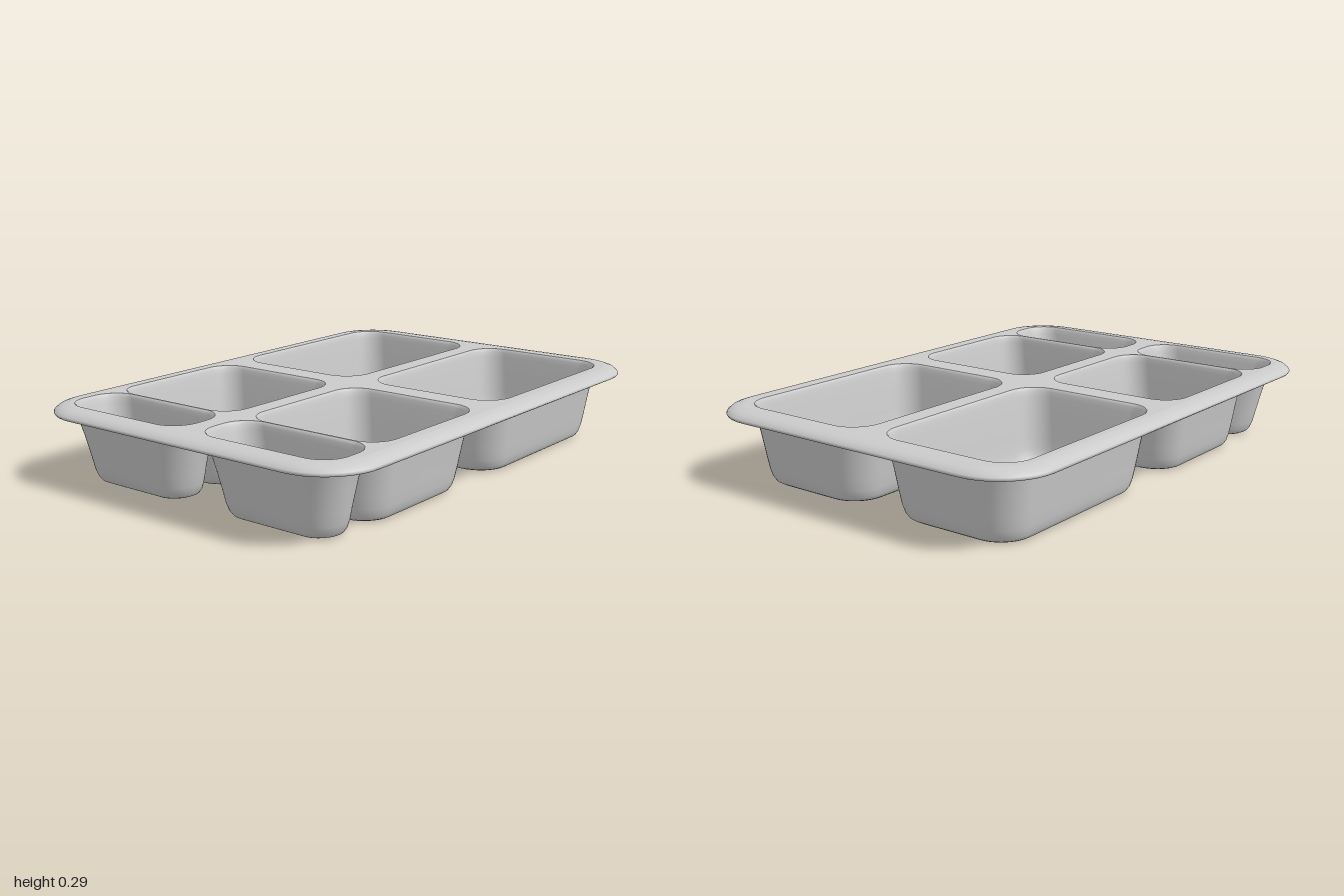
import * as THREE from 'three';

const TOP = 0.288, UNDER = 0.262;
const material = new THREE.MeshStandardMaterial({ color: 0xcccccc, side: THREE.DoubleSide });

// Rounded rectangle outline as [x, z] points, always the same number of points
function outline({ x0, x1, z0, z1 }, radius, steps = 10) {
  const r = Math.max(0, Math.min(radius, (x1 - x0) / 2, (z1 - z0) / 2));
  const corners = [[x1 - r, z1 - r], [x0 + r, z1 - r], [x0 + r, z0 + r], [x1 - r, z0 + r]];
  const points = [];
  corners.forEach(([cx, cz], q) => {
    for (let i = 0; i <= steps; i++) {
      const a = (q + i / steps) * Math.PI / 2;
      points.push([cx + r * Math.cos(a), cz + r * Math.sin(a)]);
    }
  });
  return points;
}

const inset = (b, l, r = l, z = l) => ({ x0: b.x0 + l, x1: b.x1 - r, z0: b.z0 + z, z1: b.z1 - z });

// Smooth skin through a stack of outlines: [{ points, y }]
function loft(rings, name) {
  const n = rings[0].points.length, position = [], index = [];
  rings.forEach(({ points, y }) => points.forEach(([x, z]) => position.push(x, y, z)));
  for (let i = 0; i < rings.length - 1; i++) {
    for (let j = 0; j < n; j++) {
      const a = i * n + j, b = i * n + (j + 1) % n;
      index.push(a, b, a + n, b, b + n, a + n);
    }
  }
  const geometry = new THREE.BufferGeometry();
  geometry.setAttribute('position', new THREE.Float32BufferAttribute(position, 3));
  geometry.setIndex(index);
  geometry.computeVertexNormals();
  const mesh = new THREE.Mesh(geometry, material);
  mesh.name = name;
  return mesh;
}

// Compartment columns: opening in x, and how far each wall leans in at the floor
const columns = [
  { name: 'narrowCompartment', x0: -0.893, x1: -0.667, left: 0.07, right: 0.03, ends: 0.085, radius: 0.09 },
  { name: 'squareCompartment', x0: -0.645, x1: -0.065, left: 0.035, right: 0.055, ends: 0.06, radius: 0.09 },
  { name: 'wideCompartment', x0: 0.047, x1: 0.874, left: 0.055, right: 0.05, ends: 0.055, radius: 0.1 },
];
// Wall profile: [lean fraction, height fraction]
const wall = [[0, 1], [0.08, 0.93], [0.28, 0.66], [0.48, 0.35], [0.6, 0.18], [0.72, 0.08], [0.86, 0.025], [1.05, 0]];

function wallRings(c, box, grow, floorY, topY) {
  const rings = wall.map(([t, h]) => ({
    points: outline(inset(box, c.left * t - grow, c.right * t - grow, c.ends * t - grow), c.radius + grow),
    y: floorY + (topY - floorY) * h,
  }));
  // Close the floor at its centre
  const cx = (box.x0 + box.x1) / 2, cz = (box.z0 + box.z1) / 2;
  rings.push({ points: outline({ x0: cx, x1: cx, z0: cz, z1: cz }, 0), y: floorY });
  return rings;
}

export function createModel() {
  const group = new THREE.Group();
  group.name = 'compartmentTray';
  const tray = new THREE.Group();
  tray.name = 'tray';
  tray.rotation.y = 0.027;
  group.add(tray);

  const edge = { x0: -0.985, x1: 0.985, z0: -0.7, z1: 0.7 };
  const cornerRadius = 0.21;
  const toVectors = (points) => points.map(([x, z]) => new THREE.Vector2(x, z));
  const deckShape = new THREE.Shape(toVectors(outline(inset(edge, 0.06), cornerRadius - 0.06)));

  // Compartments: an inner basin and an outer shell each
  for (const zMid of [-0.328, 0.318]) {
    for (const c of columns) {
      const box = { x0: c.x0, x1: c.x1, z0: zMid - 0.278, z1: zMid + 0.278 };
      const compartment = new THREE.Group();
      compartment.name = c.name;

      const mouth = outline(inset(box, -0.008), c.radius + 0.008);
      const inner = wallRings(c, box, 0, 0.015, TOP - 0.012);
      inner.unshift({ points: mouth, y: TOP }, { points: outline(inset(box, -0.003), c.radius), y: TOP - 0.004 });
      compartment.add(loft(inner.reverse(), 'basin'));
      compartment.add(loft(wallRings(c, box, 0.01, 0, UNDER + 0.003), 'shell'));
      tray.add(compartment);

      deckShape.holes.push(new THREE.Path(toVectors(mouth)));
    }
  }

  // Flat deck between the compartments
  const deckGeometry = new THREE.ExtrudeGeometry(deckShape, { depth: TOP - UNDER, bevelEnabled: false });
  deckGeometry.rotateX(Math.PI / 2);
  const deck = new THREE.Mesh(deckGeometry, material);
  deck.name = 'deck';
  deck.position.y = TOP;
  tray.add(deck);

  // Rounded lip, turned down at the edge
  const lip = [[0.06, TOP], [0.035, 0.285], [0.015, 0.278], [0.003, 0.268], [0, 0.262], [0.004, 0.256], [0.02, 0.256], [0.06, UNDER]];
  tray.add(loft(lip.map(([d, y]) => ({ points: outline(inset(edge, d), cornerRadius - d), y })), 'lip'));

  return group;
}
